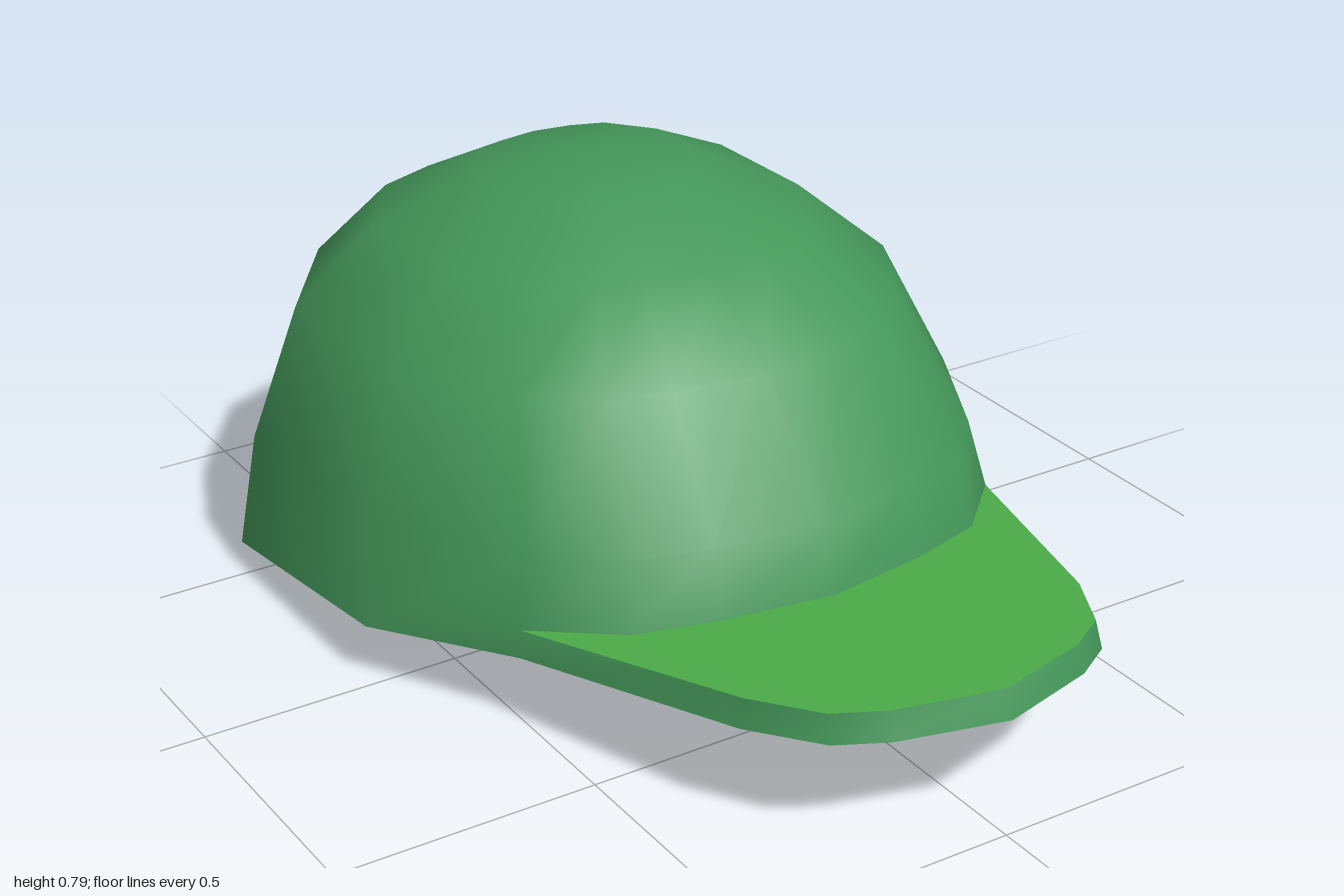
import * as THREE from 'three';
import { toCreasedNormals } from 'three/addons/utils/BufferGeometryUtils.js';

// Mirrors a half outline (front centre ... back centre) or (side ... front centre)
const mirror = (p) => [-p[0], p[1]];

// The rim and the top of the brim lie on parallel tilted planes
const rimY = (z) => 0.1125 + 0.1125 * z;
const brimY = (z) => 0.165 + 0.1125 * z;

export function createModel() {
  const model = new THREE.Group();
  model.name = 'cap';
  const clothGreen = new THREE.MeshStandardMaterial({ color: 0x449659, side: THREE.DoubleSide });
  clothGreen.name = 'cloth green';
  const brimGreen = new THREE.MeshStandardMaterial({ color: 0x4fb04a });
  brimGreen.name = 'bright green';

  // Plan of the rim as [x, z], from front centre round the left side to the back
  const half = [[0, 0.5], [0.22, 0.46], [0.37, 0.41], [0.51, 0.27], [0.667, -0.02],
    [0.677, -0.53], [0.46, -0.865], [0.25, -0.955], [0, -1]];
  const plan = [...half, ...half.slice(1, -1).reverse().map(mirror)];
  const n = plan.length;

  // Higher rings: half width, back z, back y, front z, front y
  const levels = [
    [0.642, -0.96, 0.25, 0.46, 0.34],
    [0.545, -0.865, 0.51, 0.28, 0.565],
    [0.393, -0.735, 0.66, 0.09, 0.69],
    [0.205, -0.545, 0.757, -0.145, 0.767],
  ];
  const rings = [plan.map(([x, z]) => [x, z > 0.2 ? brimY(z) : rimY(z), z])];
  for (const [w, zb, yb, zf, yf] of levels) {
    rings.push(plan.map(([x, z]) => {
      const t = (z + 1) / 1.5;
      return [(x * w) / 0.677, yb + (yf - yb) * t, zb + (zf - zb) * t];
    }));
  }

  const pos = [];
  const tri = (a, b, c) => pos.push(...a, ...b, ...c);
  const quad = (a, b, c, d) => { tri(a, b, c); tri(a, c, d); };

  // Crown
  const apex = [0, 0.785, -0.36];
  for (let i = 0; i < n; i++) {
    const j = (i + 1) % n;
    for (let k = 0; k < rings.length - 1; k++) {
      quad(rings[k][i], rings[k][j], rings[k + 1][j], rings[k + 1][i]);
    }
    tri(rings[4][i], rings[4][j], apex);
  }

  // Brim edge: a narrow band hanging from the brim, running into the crown at both ends
  const topHalf = [[0.51, 0.27], [0.355, 0.735], [0.28, 0.87], [0.195, 0.925], [0, 0.98]];
  const lowHalf = [[0.515, 0.275], [0.365, 0.745], [0.285, 0.885], [0.2, 0.94], [0, 1]];
  const whole = (h) => [...h, ...h.slice(0, -1).reverse().map(mirror)];
  const top = whole(topHalf).map(([x, z]) => [x, brimY(z), z]);
  const low = whole(lowHalf).map(([x, z]) => [x, rimY(z), z]);
  for (let i = 0; i < top.length - 1; i++) quad(low[i + 1], low[i], top[i], top[i + 1]);
  const left = rings[0][4];
  const right = rings[0][n - 4];
  tri(low[0], left, top[0]);
  tri(right, low[low.length - 1], top[top.length - 1]);

  const shell = new THREE.BufferGeometry();
  shell.setAttribute('position', new THREE.Float32BufferAttribute(pos, 3));
  const crown = new THREE.Mesh(toCreasedNormals(shell, 0.9), clothGreen);
  crown.name = 'crownAndBrimEdge';
  model.add(crown);

  // Flat brim between its outer edge and the front of the crown
  const inner = [...half.slice(1, 3).reverse().map(mirror), half[0], ...half.slice(1, 3)];
  const outline = [...whole(topHalf), ...inner].map(([x, z]) => new THREE.Vector2(x, -z));
  const addBrim = (name, material, drop) => {
    const geo = new THREE.ShapeGeometry(new THREE.Shape(outline)).rotateX(-Math.PI / 2);
    const p = geo.attributes.position;
    for (let i = 0; i < p.count; i++) p.setY(i, brimY(p.getZ(i)) - drop);
    geo.computeVertexNormals();
    const mesh = new THREE.Mesh(geo, material);
    mesh.name = name;
    model.add(mesh);
  };
  addBrim('brimTop', brimGreen, 0);
  addBrim('brimUnderside', clothGreen, 0.004);

  return model;
}
